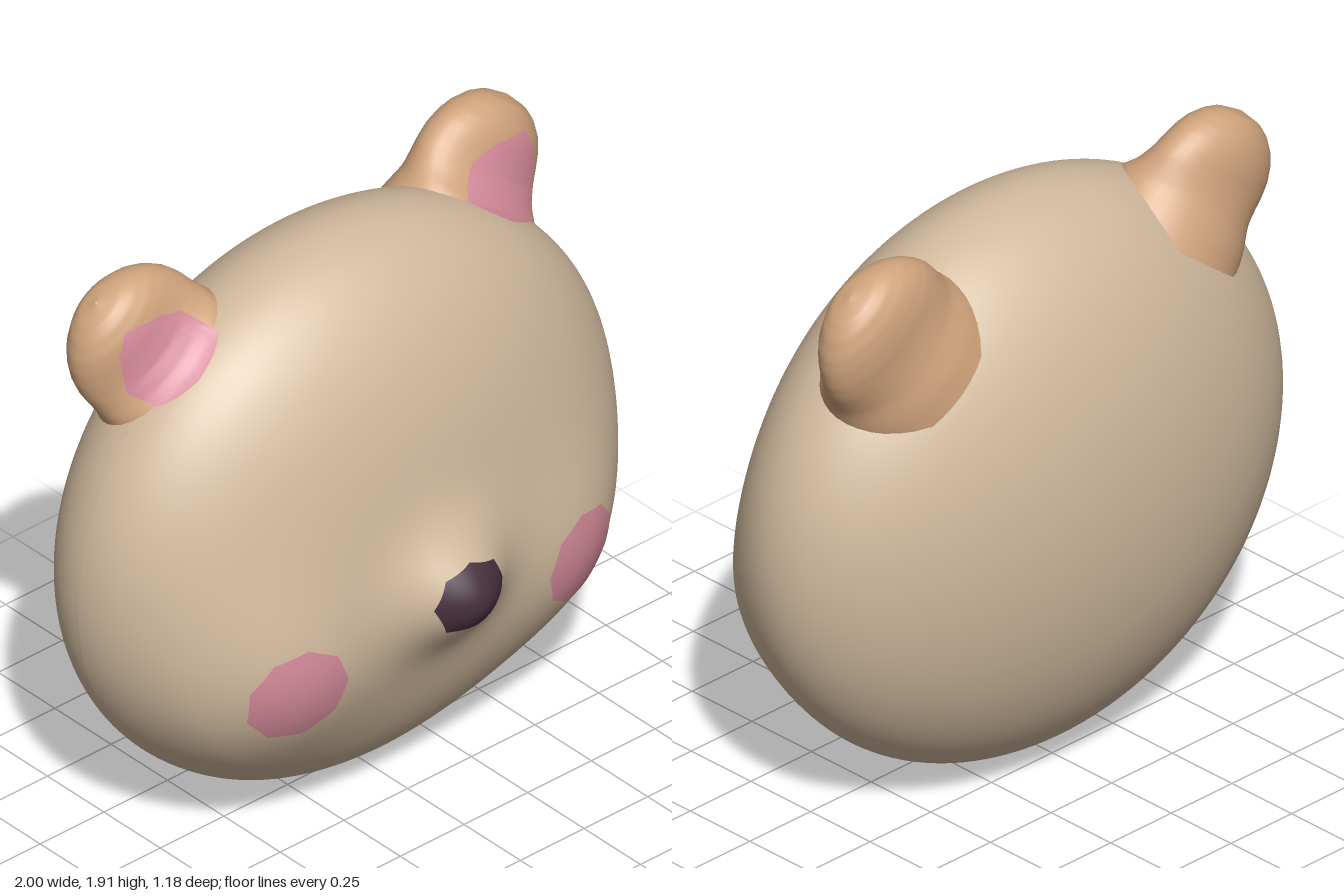
import * as THREE from 'three';

const material = (name, color) => Object.assign(new THREE.MeshStandardMaterial({ color }), { name });

// Height of the front of the head, with cheeks and a pointed snout
function headFront(x, y) {
  const uy = (y - 0.92) / 0.92;
  const u = Math.sqrt(Math.max(0, 1 - x * x - uy * uy));
  const bump = (cx, cy, r, h) => h * Math.exp(-((x - cx) ** 2 + (y - cy) ** 2) / (r * r));
  const fade = THREE.MathUtils.smoothstep(u, 0, 0.5);
  const bumps = bump(0.6, 0.62, 0.36, 0.11) + bump(-0.6, 0.62, 0.36, 0.11) + bump(0, 0.82, 0.18, 0.165);
  return -0.08 + 0.49 * u + fade * bumps;
}

// Ear sections: distance along the ear, half width, front z, back z
const EAR = [
  [-0.16, 0.29, 0.05, -0.40], [-0.08, 0.28, 0.04, -0.385], [0, 0.26, 0.01, -0.36],
  [0.05, 0.252, -0.05, -0.35], [0.1, 0.248, -0.085, -0.345], [0.15, 0.235, -0.1, -0.345],
  [0.2, 0.212, -0.11, -0.34], [0.24, 0.182, -0.122, -0.33], [0.28, 0.135, -0.145, -0.31],
  [0.305, 0.085, -0.17, -0.285], [0.32, 0.002, -0.225, -0.23],
];
const BASE = [0.615, 1.61];
const AXIS = [0.615, 0.79];

function earSection(s) {
  let i = 0;
  while (i < EAR.length - 2 && s > EAR[i + 1][0]) i++;
  const t = THREE.MathUtils.clamp((s - EAR[i][0]) / (EAR[i + 1][0] - EAR[i][0]), 0, 1);
  return EAR[i].map((v, k) => THREE.MathUtils.lerp(v, EAR[i + 1][k], t));
}

// Height of the ear's front at an offset from the ear base
function earFront(dx, dy) {
  const s = dx * AXIS[0] + dy * AXIS[1];
  const across = dx * AXIS[1] - dy * AXIS[0];
  const [, w, front, back] = earSection(s);
  const k = Math.sqrt(Math.max(0, 1 - (across / w) ** 2));
  return (front + back) / 2 + k * (front - back) / 2;
}

// Surface through closed rings of points
function rings(rows, cols, point, flip) {
  const pos = [], index = [];
  for (let i = 0; i < rows; i++) {
    for (let j = 0; j < cols; j++) {
      pos.push(...point(i, j));
      if (i === rows - 1) continue;
      const n = (j + 1) % cols;
      const [a, b, c, d] = [i * cols + j, (i + 1) * cols + j, (i + 1) * cols + n, i * cols + n];
      if (flip) index.push(a, c, b, a, d, c);
      else index.push(a, b, c, a, c, d);
    }
  }
  const g = new THREE.BufferGeometry();
  g.setAttribute('position', new THREE.Float32BufferAttribute(pos, 3));
  g.setIndex(index);
  g.computeVertexNormals();
  return g;
}

// Thin painted polygon laid over a height function; corners run counter-clockwise
function patch(corners, height, side = 1, lift = 0.007) {
  const n = corners.length, sub = 5, steps = 12;
  const cx = corners.reduce((a, p) => a + p[0], 0) / n;
  const cy = corners.reduce((a, p) => a + p[1], 0) / n;
  return rings(steps + 1, n * sub, (i, j) => {
    const p = corners[Math.floor(j / sub)], q = corners[(Math.floor(j / sub) + 1) % n];
    const t = (j % sub) / sub, r = i / steps;
    const x = cx + r * (p[0] + (q[0] - p[0]) * t - cx);
    const y = cy + r * (p[1] + (q[1] - p[1]) * t - cy);
    return [side * x, y, height(x, y) + lift];
  }, side < 0);
}

const polygon = (cx, cy, rx, ry, n, turn) => Array.from({ length: n }, (_, i) => {
  const a = turn + (i / n) * Math.PI * 2;
  return [cx + rx * Math.cos(a), cy + ry * Math.sin(a)];
});

export function createModel() {
  const model = new THREE.Group();
  const fur = material('beige fur', 0xd0b99d);
  const tan = material('tan ear', 0xcfa37c);
  const pink = material('pink', 0xd48a9a);
  const dark = material('dark nose', 0x47303d);
  const add = (name, geometry, mat) => {
    const mesh = new THREE.Mesh(geometry, mat);
    mesh.name = name;
    model.add(mesh);
  };

  // Head: a sphere reshaped by the front height rule
  const head = new THREE.SphereGeometry(1, 128, 96);
  const p = head.attributes.position;
  for (let i = 0; i < p.count; i++) {
    const x = p.getX(i), y = 0.92 + 0.92 * p.getY(i), z = p.getZ(i);
    p.setXYZ(i, x, y, z >= 0 ? headFront(x, y) : -0.08 + 0.51 * z);
  }
  head.computeVertexNormals();
  add('head', head, fur);

  // Nose
  add('nose', patch(
    [[0.13, 0.84], [0.1, 0.91], [0, 0.945], [-0.09, 0.915], [-0.135, 0.83], [-0.09, 0.735], [0.08, 0.73], [0.12, 0.79]],
    headFront), dark);

  for (const side of [1, -1]) {
    const label = side > 0 ? 'left' : 'right';
    const k = side > 0 ? 1 : 0.94; // the right ear is a little smaller

    // Cheek
    add(label + 'Cheek', patch(polygon(0.555, 0.655, 0.16, 0.162, 9, 0.3), headFront, side), pink);

    // Ear
    const rows = 40, cols = 40;
    add(label + 'Ear', rings(rows + 1, cols, (i, j) => {
      const [s, w, front, back] = earSection(-0.16 + 0.48 * Math.sin((i / rows) * Math.PI / 2));
      const a = (j / cols) * Math.PI * 2, across = w * Math.cos(a);
      return [
        side * (BASE[0] + k * (s * AXIS[0] + across * AXIS[1])),
        BASE[1] + k * (s * AXIS[1] - across * AXIS[0]),
        (front + back) / 2 + Math.sin(a) * (front - back) / 2,
      ];
    }, side < 0), tan);

    // Inner ear, lying over both ear and head
    const inner = [[0.62, 1.62], [0.74, 1.54], [0.80, 1.58], [0.82, 1.72], [0.79, 1.8], [0.66, 1.81], [0.57, 1.79], [0.49, 1.72]]
      .map(([x, y]) => [BASE[0] + k * (x - BASE[0]), BASE[1] + k * (y - BASE[1])]);
    add(label + 'InnerEar', patch(inner, (x, y) => {
      const ear = earFront((x - BASE[0]) / k, (y - BASE[1]) / k);
      const inside = x * x + ((y - 0.92) / 0.92) ** 2 < 1;
      return inside ? Math.max(ear, headFront(x, y)) : ear;
    }, side, 0.009), pink);
  }
  return model;
}
